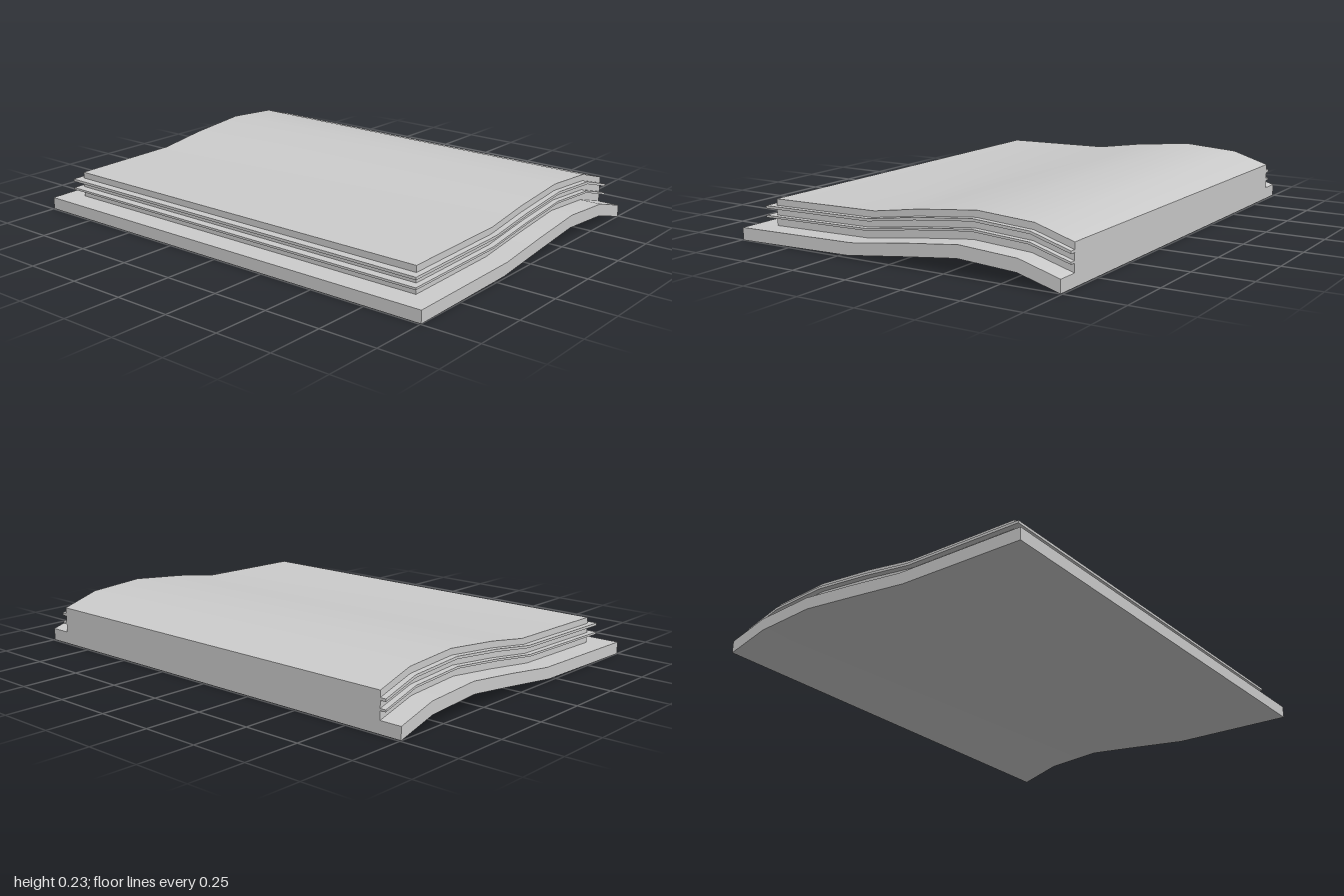
import * as THREE from 'three';
import { toCreasedNormals } from 'three/addons/utils/BufferGeometryUtils.js';

const SPINE_X = 0.743;
const TOP = 0.163;
// Bends of the wave: x at the bottom surface, x at the top surface, rise
const BENDS = [[-0.2, -0.14, 0.009], [0.07, 0.07, 0.04], [0.31, 0.335, 0.066], [0.565, 0.58, 0.05]];

// The wavy line at a given height in the stack, from the outer edge to the spine
function waveLine(left, height) {
  const t = height / TOP;
  const bends = BENDS.map(([low, high, rise]) =>
    new THREE.Vector2(THREE.MathUtils.lerp(low, high, t), height + rise));
  const startRise = 0.009 * (left + 0.745) / 0.55;
  return [new THREE.Vector2(left, height + startRise), ...bends, new THREE.Vector2(SPINE_X, height)];
}

// A wavy slab between two heights, centred on z = 0
function waveSlab(name, left, bottom, top, halfDepth) {
  const outline = [...waveLine(left, bottom), ...waveLine(left, top).reverse()];
  const geometry = new THREE.ExtrudeGeometry(new THREE.Shape(outline), {
    depth: halfDepth * 2, bevelEnabled: false,
  });
  geometry.translate(0, 0, -halfDepth);
  const material = new THREE.MeshStandardMaterial({ color: 0xcccccc });
  const mesh = new THREE.Mesh(toCreasedNormals(geometry, Math.PI / 6), material);
  mesh.name = name;
  return mesh;
}

export function createModel() {
  const model = new THREE.Group();
  model.name = 'openBookHalf';

  // Thick cover below, with the page block resting on it
  model.add(waveSlab('cover', -0.745, 0, 0.052, 1));
  model.add(waveSlab('pageBlock', -0.645, 0.052, TOP, 0.905));

  // Thin leaves sticking out of the page block on three sides
  [[0.087, 0.096], [0.125, 0.136]].forEach(([bottom, top], i) => {
    model.add(waveSlab(`leaf${i + 1}`, -0.682, bottom, top, 0.93));
  });

  return model;
}
